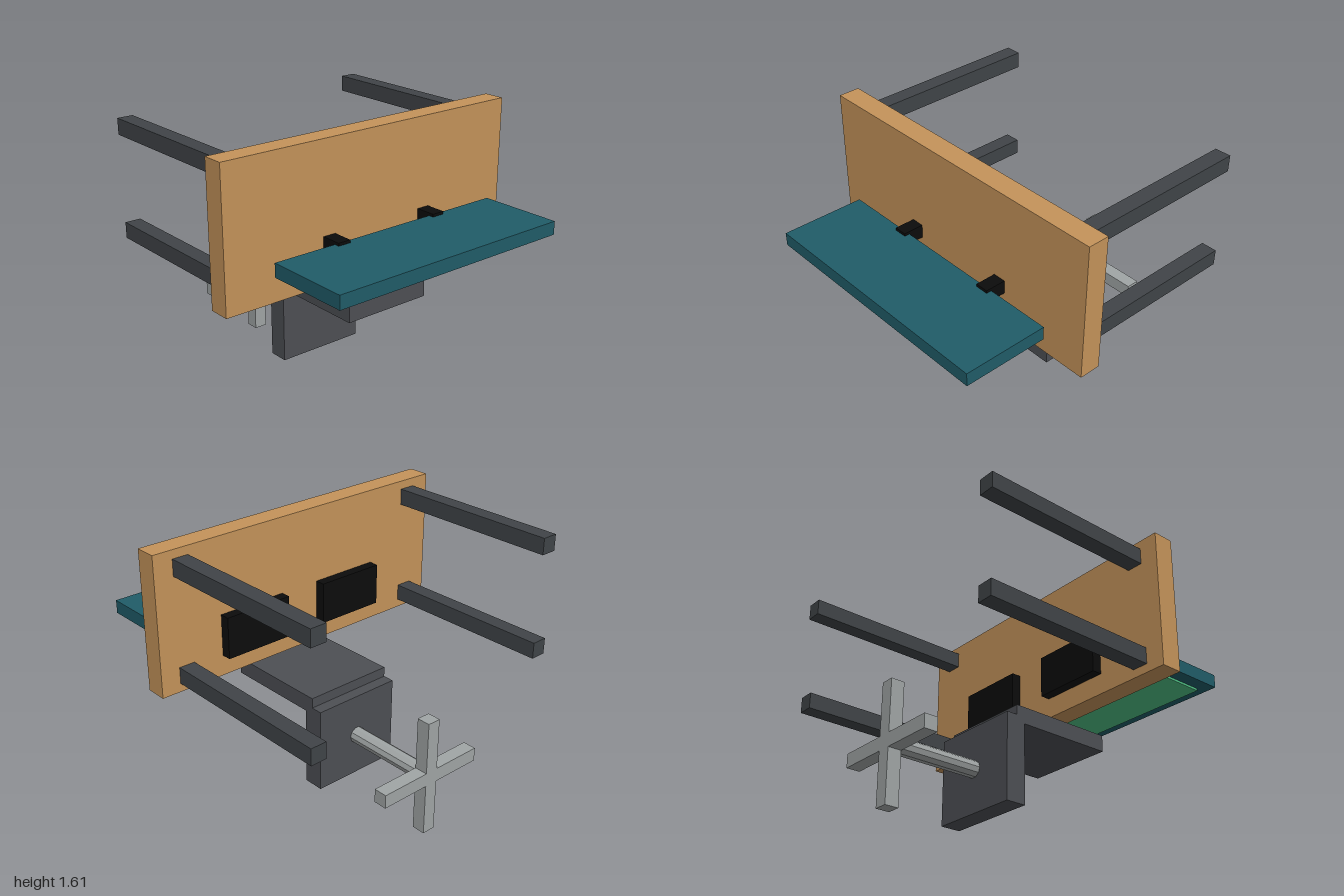
import * as THREE from 'three';

const mat = (color) => new THREE.MeshStandardMaterial({ color, flatShading: true });

export function createModel() {
  const model = new THREE.Group();
  const wood = mat(0xc4935a), legGrey = mat(0x404448), black = mat(0x0c0c0c);
  const teal = mat(0x205c68), green = mat(0x4fbf85), seatGrey = mat(0x4d4f54), metal = mat(0xa0a5a5);

  const group = (name) => {
    const g = new THREE.Group();
    g.name = name;
    model.add(g);
    return g;
  };
  // Box given by its extents along each axis
  const box = (parent, name, material, [x0, x1], [y0, y1], [z0, z1]) => {
    const mesh = new THREE.Mesh(new THREE.BoxGeometry(x1 - x0, y1 - y0, z1 - z0), material);
    mesh.position.set((x0 + x1) / 2, (y0 + y1) / 2, (z0 + z1) / 2);
    mesh.name = name;
    parent.add(mesh);
  };

  // Table tipped on its side: upright top, four legs pointing back
  const table = group('table');
  box(table, 'tableTop', wood, [-1, 1], [0.772, 1.605], [0.172, 0.302]);
  for (const x of [-0.834, 0.832])
    for (const y of [0.872, 1.505])
      box(table, 'tableLeg', legGrey, [x - 0.049, x + 0.049], [y - 0.049, y + 0.049], [-0.913, 0.172]);

  // Wide screen held by two stands whose base plates sit behind the table top
  const display = group('display');
  box(display, 'screenBody', teal, [-0.755, 0.81], [0.965, 1.046], [0.395, 0.91]);
  box(display, 'screenPanel', green, [-0.675, 0.73], [0.951, 0.966], [0.47, 0.84]);
  for (const x of [-0.32, 0.373]) {
    box(display, 'standPost', black, [x - 0.04, x + 0.04], [0.98, 1.063], [0.165, 0.428]);
    box(display, 'standBase', black, [x - 0.217, x + 0.217], [0.895, 1.146], [0.112, 0.173]);
  }

  // Chair tipped on its back edge, with column and crossed foot
  const chair = group('chair');
  box(chair, 'backrest', seatGrey, [-0.282, 0.282], [0.572, 0.672], [-0.23, 0.425]);
  box(chair, 'seat', seatGrey, [-0.282, 0.282], [0.1, 0.612], [-0.3, -0.176]);
  const column = new THREE.Mesh(
    new THREE.CylinderGeometry(0.05, 0.05, 0.53, 10, 1, false, Math.PI / 2).rotateX(Math.PI / 2), metal);
  column.position.set(0, 0.356, -0.56);
  column.name = 'chairColumn';
  chair.add(column);
  box(chair, 'footBarUpright', metal, [-0.041, 0.041], [0, 0.71], [-0.896, -0.814]);
  box(chair, 'footBarAcross', metal, [-0.353, 0.35], [0.315, 0.397], [-0.896, -0.814]);

  return model;
}
